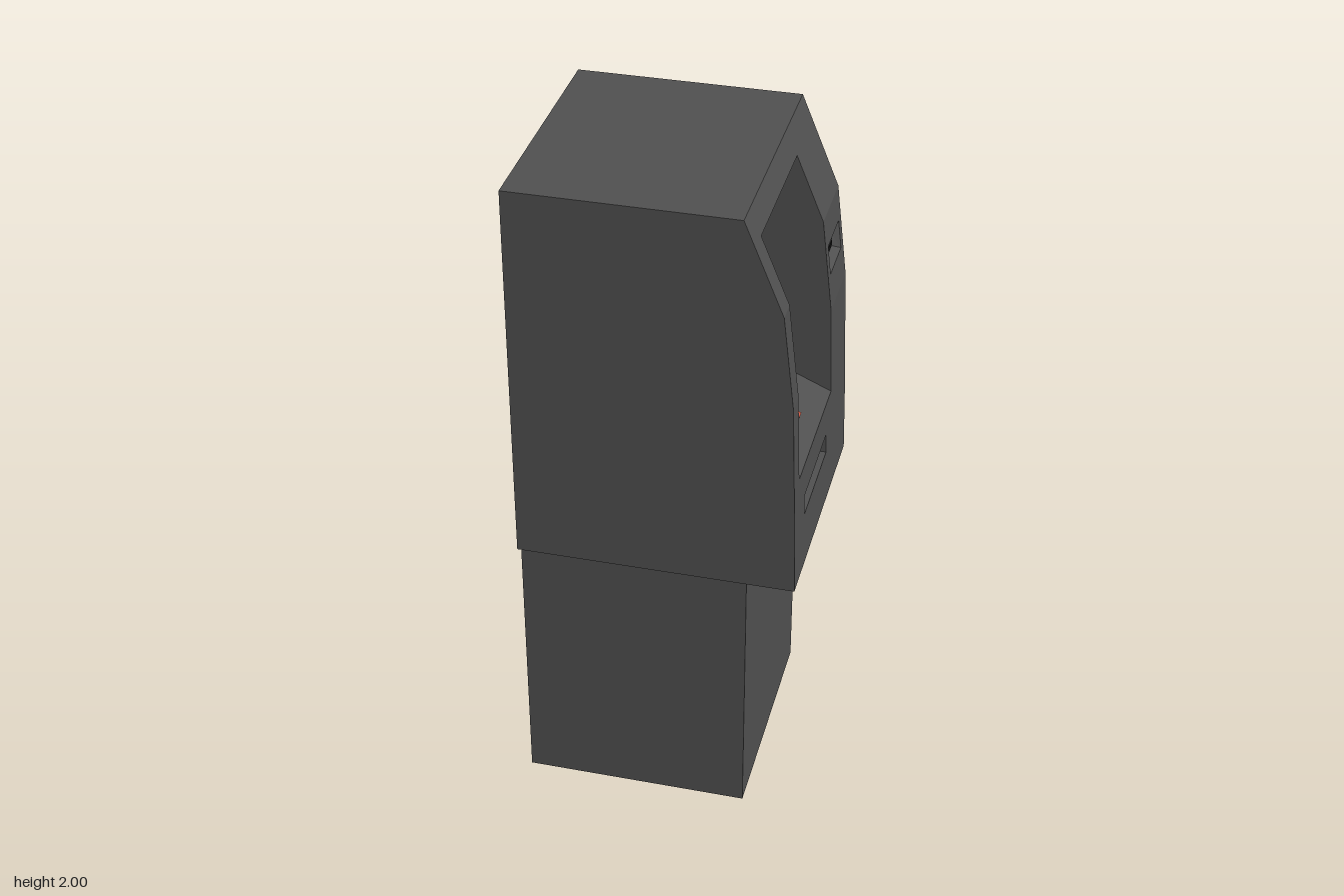
import * as THREE from 'three';

const material = (color) => new THREE.MeshStandardMaterial({ color, flatShading: true, side: THREE.DoubleSide });
const BODY = material(0x505050), LIGHT = material(0xcccccc), KEY = material(0xa4a4a4);
const RED = material(0xcc5a46), GREEN = material(0x68c84e), BLACK = material(0x161616);

// Mesh from a list of four-cornered faces
function quadMesh(name, quads, mat) {
  const pos = [];
  for (const [a, b, c, d] of quads) pos.push(...a, ...b, ...c, ...a, ...c, ...d);
  const geo = new THREE.BufferGeometry();
  geo.setAttribute('position', new THREE.Float32BufferAttribute(pos, 3));
  geo.computeVertexNormals();
  const mesh = new THREE.Mesh(geo, mat);
  mesh.name = name;
  return mesh;
}

// Point of a rising profile at height y
function at(profile, y) {
  for (let i = 1; i < profile.length; i++) {
    const [a, b] = [profile[i - 1], profile[i]];
    if (y <= b[1] + 1e-6) return [a[0] + (b[0] - a[0]) * (y - a[1]) / (b[1] - a[1]), y];
  }
  return profile[profile.length - 1];
}

// Part of a rising profile between two heights
const clip = (profile, y0, y1) =>
  [at(profile, y0), ...profile.filter((p) => p[1] > y0 + 1e-4 && p[1] < y1 - 1e-4), at(profile, y1)];

const sorted = (values) => [...new Set(values)].sort((a, b) => a - b);

// Profile swept along z, leaving rectangular openings
function sheet(name, profile, z0, z1, holes, mat) {
  const ys = sorted([...profile.map((p) => p[1]), ...holes.flatMap((h) => [h.y0, h.y1])]);
  const zs = sorted([z0, z1, ...holes.flatMap((h) => [h.z0, h.z1])]);
  const quads = [];
  for (let i = 1; i < ys.length; i++) for (let j = 1; j < zs.length; j++) {
    const y = (ys[i] + ys[i - 1]) / 2, z = (zs[j] + zs[j - 1]) / 2;
    if (holes.some((h) => y > h.y0 && y < h.y1 && z > h.z0 && z < h.z1)) continue;
    const a = at(profile, ys[i - 1]), b = at(profile, ys[i]);
    quads.push([[...a, zs[j - 1]], [...b, zs[j - 1]], [...b, zs[j]], [...a, zs[j]]]);
  }
  return quadMesh(name, quads, mat);
}

// Walls joining an opening to an inner outline with as many points
function pocket(name, outer, inner, h, inset = 0) {
  const ring = (pts, z0, z1) => [...pts.map((p) => [...p, z0]), ...[...pts].reverse().map((p) => [...p, z1])];
  const O = ring(outer, h.z0, h.z1), I = ring(inner, h.z0 + inset, h.z1 - inset);
  return quadMesh(name, O.map((p, i) => {
    const n = (i + 1) % O.length;
    return [p, O[n], I[n], I[i]];
  }), BODY);
}

export function createModel() {
  const model = new THREE.Group();
  model.name = 'cashMachine';

  // Pedestal
  const base = new THREE.Mesh(new THREE.BoxGeometry(0.665, 0.835, 0.71), BODY);
  base.position.set(-0.068, 0.4175, 0.002);
  base.name = 'pedestal';
  model.add(base);

  // Cabinet shell
  const W = 0.37;
  const front = [[0.405, 0.835], [0.4, 1.05], [0.386, 1.445], [0.354, 1.727], [0.243, 2]];
  const rest = [[0.243, 2], [-0.408, 2], [-0.408, 0.835], [0.405, 0.835]];
  const alcove = { y0: 1.173, y1: 1.923, z0: -0.152, z1: 0.303 };
  const card = { y0: 1.545, y1: 1.633, z0: -0.338, z1: -0.185 };
  const cash = { y0: 1.007, y1: 1.07, z0: -0.08, z1: 0.233 };
  model.add(sheet('frontPanel', front, -W, W, [alcove, card, cash], BODY));
  model.add(quadMesh('topBackBottom', rest.slice(1).map((b, i) =>
    [[...rest[i], -W], [...b, -W], [...b, W], [...rest[i], W]]), BODY));
  const outline = new THREE.Shape([...front, ...rest.slice(1, 3)].map((p) => new THREE.Vector2(...p)));
  for (const side of [1, -1]) {
    const panel = new THREE.Mesh(new THREE.ShapeGeometry(outline), BODY);
    if (side < 0) { // reverse the corners so the panel faces outward
      panel.geometry.setIndex([...panel.geometry.index.array].reverse());
      panel.geometry.computeVertexNormals();
    }
    panel.position.z = side * W;
    panel.name = side > 0 ? 'leftSide' : 'rightSide';
    model.add(panel);
  }

  // Alcove with sloping shelf and screen wall
  const wall = [[0.165, 1.275], [0.153, 1.445], [0.117, 1.71], [0.04, 1.867]];
  const screen = { y0: 1.468, y1: 1.71, z0: -0.073, z1: 0.228 };
  model.add(pocket('alcoveWalls', clip(front, alcove.y0, alcove.y1), wall, alcove));
  model.add(sheet('screenWall', wall, alcove.z0, alcove.z1, [screen], BODY));

  // Sunken screen
  const bezel = clip(wall, screen.y0, screen.y1);
  const glass = bezel.map(([x, y]) => [x - 0.03, y - 0.004]);
  model.add(pocket('screenBezel', bezel, glass, screen));
  model.add(sheet('screen', glass, screen.z0, screen.z1, [], LIGHT));

  // Keypad on the shelf
  const shelf = new THREE.Vector2(0.165 - 0.396, 1.275 - 1.173);
  const slope = shelf.y / shelf.x;
  const keypad = new THREE.Group();
  keypad.name = 'keypad';
  for (let r = 0; r < 3; r++) for (let c = 0; c < 3; c++) {
    const mat = r > 0 || c === 1 ? KEY : c === 0 ? RED : GREEN;
    const key = new THREE.Mesh(new THREE.BoxGeometry(0.031, 0.01, 0.025), mat);
    const x = 0.327 - r * 0.036;
    key.position.set(x, 1.173 + (x - 0.396) * slope + 0.003, 0.037 + c * 0.0365);
    key.rotation.z = Math.atan(slope);
    key.name = 'key';
    keypad.add(key);
  }
  model.add(keypad);

  // Cash slot with a light flap
  const lip = clip(front, cash.y0, cash.y1).map(([x, y]) => [x, y]);
  const flap = lip.map(([x, y]) => [x - 0.035, y]);
  model.add(pocket('cashSlot', lip, flap, cash));
  model.add(sheet('cashFlap', flap, cash.z0, cash.z1, [], LIGHT));

  // Card reader: bevelled surround, raised mouth and dark slit
  const rim = clip(front, card.y0, card.y1);
  const bed = [[rim[0][0] - 0.025, card.y0 + 0.017], [rim[1][0] - 0.025, card.y1 - 0.017]];
  model.add(pocket('cardSurround', rim, bed, card, 0.024));
  model.add(sheet('cardBed', bed, card.z0 + 0.024, card.z1 - 0.024, [], BODY));
  const cx = (bed[0][0] + bed[1][0]) / 2, cy = 1.589, cz = -0.2615;
  const boxes = [['cardMouth', 0.02, 0.036, 0.075, BODY], ['cardSlit', 0.024, 0.014, 0.052, BLACK]];
  for (const [name, w, h, d, mat] of boxes) {
    const box = new THREE.Mesh(new THREE.BoxGeometry(w, h, d), mat);
    box.position.set(cx, cy, cz);
    box.name = name;
    model.add(box);
  }
  return model;
}
